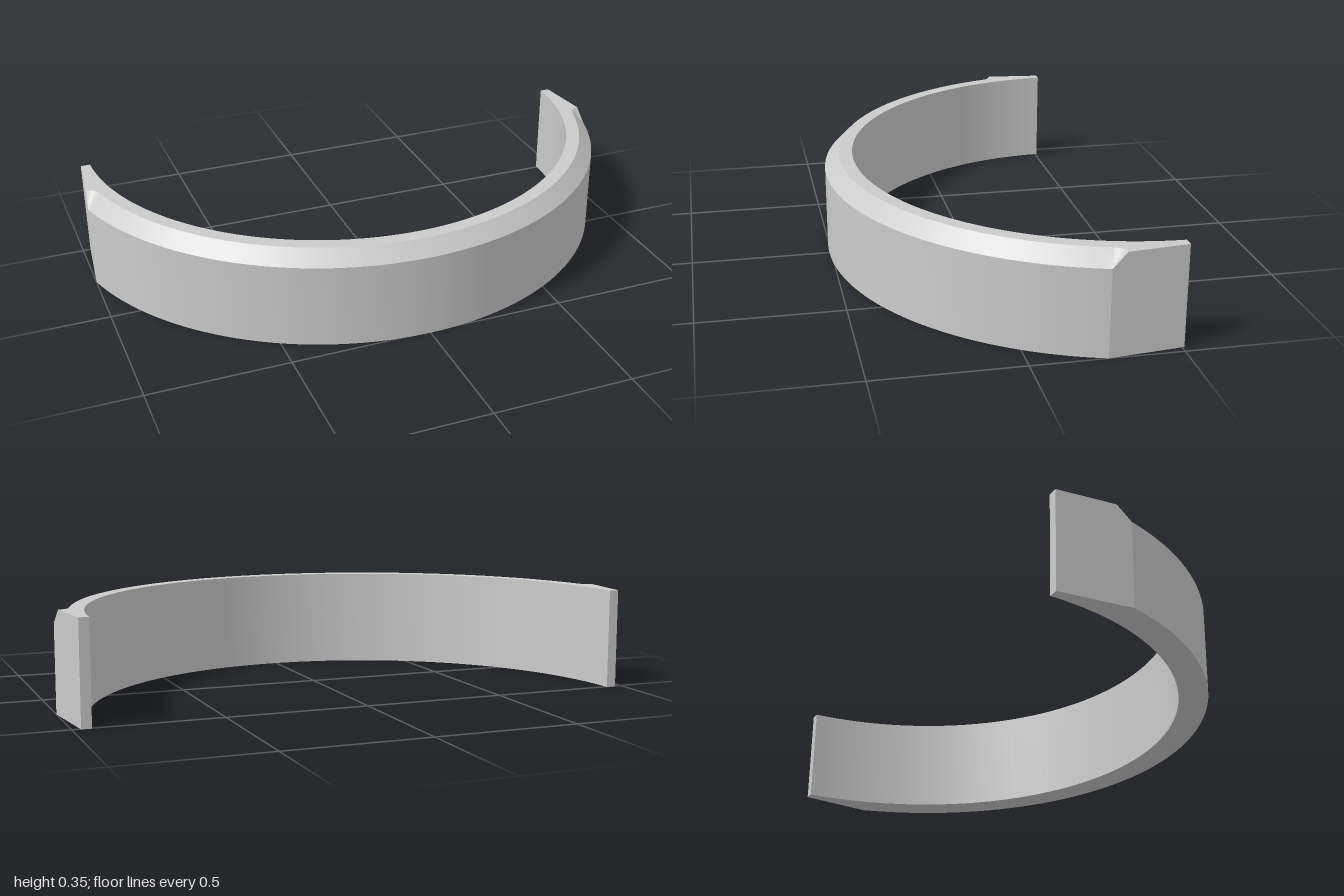
import * as THREE from 'three';
import { toCreasedNormals } from 'three/addons/utils/BufferGeometryUtils.js';

const CZ = -0.531;              // z of the arc centre
const R_IN = 0.938, R_OUT = 1.038;
const BEVEL = 0.05, HEIGHT = 0.35, BACK = -0.507;

const onArc = (r, a) => [r * Math.cos(a), CZ + r * Math.sin(a)];
const lerp = THREE.MathUtils.lerp;

// Each station holds plan points [x, z]: inner wall, outer wall, outer top edge
function halfStations() {
  const corner = [1, CZ + Math.sqrt(R_OUT * R_OUT - 1)];
  const cornerAngle = Math.atan2(corner[1] - CZ, 1);
  const tip = [0.972, BACK];
  const tipAngle = Math.asin((BACK - CZ) / R_IN);
  const wallDir = Math.atan2(tip[1] - corner[1], tip[0] - corner[0]);
  const startDir = cornerAngle - Math.PI;
  const stations = [];

  // bevelled arc, from the middle of the front to the corner
  for (let i = 0; i <= 40; i++) {
    const a = lerp(Math.PI / 2, cornerAngle, i / 40);
    stations.push([onArc(R_IN, a), onArc(R_OUT, a), onArc(R_OUT - BEVEL, a)]);
  }
  // bevel runs out as part of a cone around the corner
  const runOutAngle = cornerAngle - 0.05;
  for (let i = 1; i <= 8; i++) {
    const d = lerp(startDir, wallDir, i / 8);
    const top = [corner[0] + BEVEL * Math.cos(d), corner[1] + BEVEL * Math.sin(d)];
    stations.push([onArc(R_IN, lerp(cornerAngle, runOutAngle, i / 8)), corner, top]);
  }
  // straight tapering end with full height
  const runOut = stations[stations.length - 1][2];
  for (let i = 1; i <= 6; i++) {
    const t = i / 6;
    const along = (p) => [lerp(p[0], tip[0], t), lerp(p[1], tip[1], t)];
    stations.push([onArc(R_IN, lerp(runOutAngle, tipAngle, t)), along(corner), along(runOut)]);
  }
  return stations;
}

function bandGeometry() {
  const half = halfStations();
  const mirrored = half.slice(1).map((s) => s.map(([x, z]) => [-x, z]));
  const stations = [...half.slice().reverse(), ...mirrored];

  // cross-section loop: inner bottom, outer bottom, outer shoulder, top edge, inner top
  const rings = stations.map(([inner, outer, top]) => [
    [inner, 0], [outer, 0], [outer, HEIGHT - BEVEL], [top, HEIGHT], [inner, HEIGHT],
  ].map(([p, y]) => new THREE.Vector3(p[0], y, p[1])));

  const positions = [];
  const triangle = (a, b, c) => {
    if (new THREE.Triangle(a, b, c).getArea() < 1e-9) return;
    for (const v of [a, b, c]) positions.push(v.x, v.y, v.z);
  };
  for (let i = 0; i < rings.length - 1; i++) {
    const r = rings[i], n = rings[i + 1];
    for (let j = 0; j < 5; j++) {
      const k = (j + 1) % 5;
      triangle(r[j], r[k], n[k]);
      triangle(r[j], n[k], n[j]);
    }
  }
  // flat end faces
  const first = rings[0], last = rings[rings.length - 1];
  for (let j = 1; j < 4; j++) {
    triangle(first[0], first[j + 1], first[j]);
    triangle(last[0], last[j], last[j + 1]);
  }

  const geometry = new THREE.BufferGeometry();
  geometry.setAttribute('position', new THREE.Float32BufferAttribute(positions, 3));
  return toCreasedNormals(geometry, 0.3);
}

export function createModel() {
  const group = new THREE.Group();
  group.name = 'curvedBracket';
  const material = new THREE.MeshStandardMaterial({ color: 0xcccccc });
  const band = new THREE.Mesh(bandGeometry(), material);
  band.name = 'bevelledBand';
  group.add(band);
  return group;
}
